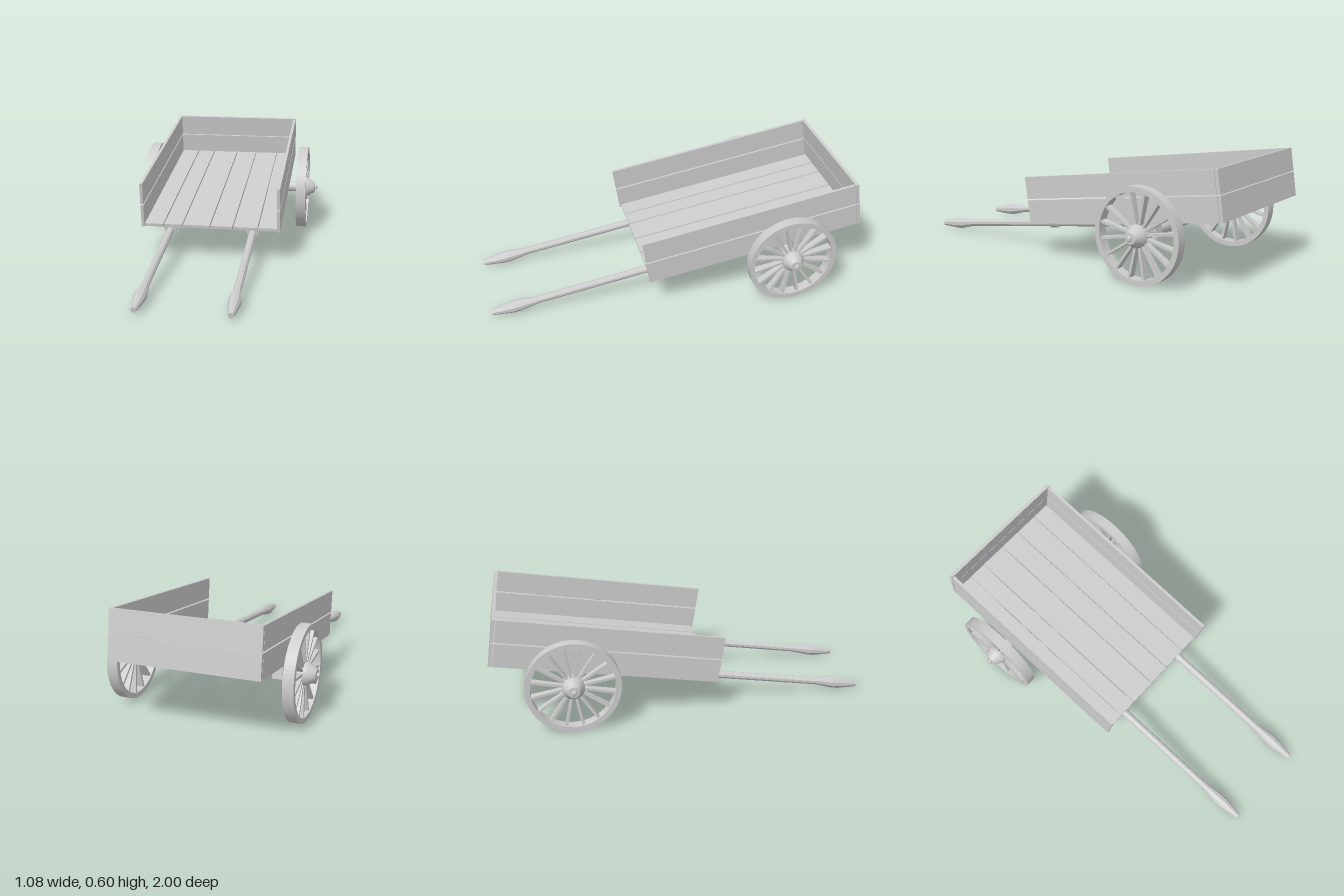
import * as THREE from 'three';
import { toCreasedNormals } from 'three/addons/utils/BufferGeometryUtils.js';

const AXLE_Y = 0.243, AXLE_Z = -0.585, TILT = 0.151;
const material = new THREE.MeshStandardMaterial({ color: 0xcccccc });

function add(parent, name, geometry) {
  const mesh = new THREE.Mesh(geometry, material);
  mesh.name = name;
  parent.add(mesh);
  return mesh;
}

// Box given by its extents on each axis
function board(parent, name, [x0, x1], [y0, y1], [z0, z1]) {
  const mesh = add(parent, name, new THREE.BoxGeometry(x1 - x0, y1 - y0, z1 - z0));
  mesh.position.set((x0 + x1) / 2, (y0 + y1) / 2, (z0 + z1) / 2);
  return mesh;
}

function lathe(points, sides) {
  const profile = points.map(([r, h]) => new THREE.Vector2(r, h));
  return toCreasedNormals(new THREE.LatheGeometry(profile, sides), 0.6);
}

// Spoked wheel around the x axis, outer face towards +x
function createWheel() {
  const wheel = new THREE.Group();
  wheel.name = 'wheel';

  const ring = new THREE.Shape().absarc(0, 0, 0.243, 0, Math.PI * 2);
  ring.holes.push(new THREE.Path().absarc(0, 0, 0.216, 0, Math.PI * 2, true));
  const rimGeometry = new THREE.ExtrudeGeometry(ring, { depth: 0.056, bevelEnabled: false, curveSegments: 48 });
  rimGeometry.translate(0, 0, -0.028).rotateY(Math.PI / 2);
  add(wheel, 'rim', toCreasedNormals(rimGeometry, 0.6));

  // Flat spokes, broader towards the rim
  const spokeGeometry = new THREE.BoxGeometry(0.042, 0.185, 0.013).translate(0, 0.1275, 0);
  const pos = spokeGeometry.attributes.position;
  for (let i = 0; i < pos.count; i++) if (pos.getY(i) < 0.1) pos.setX(i, pos.getX(i) * 0.6);
  spokeGeometry.computeVertexNormals();
  for (let i = 0; i < 16; i++) {
    add(wheel, 'spoke', spokeGeometry).rotation.x = ((i + 0.5) / 16) * Math.PI * 2;
  }

  // Hub with a tapered cap and an end pin
  const hub = lathe([[0, -0.03], [0.045, -0.03], [0.058, -0.015], [0.058, 0.028], [0.03, 0.072],
    [0.013, 0.074], [0.013, 0.084], [0.008, 0.088], [0, 0.088]], 16);
  add(wheel, 'hub', hub.rotateZ(-Math.PI / 2));
  return wheel;
}

// Open-fronted plank box, in the tilted frame centred on the axle
function createBox() {
  const box = new THREE.Group();
  box.name = 'cartBox';
  const rows = [[0.045, 0.170], [0.178, 0.296]];

  // Floor planks of uneven width
  const seams = [-0.368, -0.261, -0.157, -0.005, 0.12, 0.256, 0.362];
  for (let i = 0; i < seams.length - 1; i++) {
    board(box, 'floorPlank', [seams[i] + 0.003, seams[i + 1] - 0.003], [0.045, 0.061], [-0.41, 0.75]);
  }

  for (const row of rows) {
    board(box, 'leftSidePlank', [0.36, 0.376], row, [-0.407, 0.76]);
    board(box, 'rightSidePlank', [-0.382, -0.366], row, [-0.407, 0.76]);
  }
  board(box, 'lowerTailPlank', [-0.382, 0.376], [0.045, 0.171], [-0.428, -0.41]);
  board(box, 'upperTailPlank', [-0.382, 0.376], [0.176, 0.296], [-0.428, -0.41]);
  return box;
}

// Pull shaft with a swollen grip and two straps under the floor
function createShaft() {
  const shaft = new THREE.Group();
  shaft.name = 'pullShaft';

  const pole = lathe([[0, 0.07], [0.021, 0.07], [0.02, 1.36], [0.032, 1.45], [0.032, 1.49], [0.015, 1.6], [0, 1.6]], 10);
  add(shaft, 'pole', pole.rotateX(Math.PI / 2)).position.y = 0.02;

  const half = [[0.076, 0.045], [0.076, 0.038], [0.036, 0.038], [0.025, 0.008], [0.013, -0.006]];
  const outline = [...half, ...half.map(([x, y]) => [-x, y]).reverse()];
  const strapShape = new THREE.Shape(outline.map(([x, y]) => new THREE.Vector2(x, y)));
  const strapGeometry = new THREE.ExtrudeGeometry(strapShape, { depth: 0.044, bevelEnabled: false });
  for (const z of [0.13, 0.695]) add(shaft, 'strap', strapGeometry).position.z = z;
  return shaft;
}

export function createModel() {
  const cart = new THREE.Group();
  cart.name = 'handcart';

  // Everything rigid to the bed leans back about the axle
  const body = new THREE.Group();
  body.name = 'body';
  body.position.set(0, AXLE_Y, AXLE_Z);
  body.rotation.x = TILT;
  body.add(createBox());
  cart.add(body);

  const axle = add(cart, 'axle', new THREE.CylinderGeometry(0.03, 0.03, 0.88, 16).rotateZ(Math.PI / 2));
  axle.position.set(0, AXLE_Y, AXLE_Z);

  for (const side of [1, -1]) {
    const shaft = createShaft();
    shaft.position.x = side * 0.226;
    body.add(shaft);

    // Block joining the floor to the axle
    const x = side * 0.335;
    board(body, 'axleBlock', [x - 0.027, x + 0.027], [-0.038, 0.045], [-0.038, 0.038]);

    const wheel = createWheel();
    wheel.position.set(side * 0.452, AXLE_Y, AXLE_Z);
    if (side < 0) wheel.rotation.y = Math.PI;
    cart.add(wheel);
  }
  return cart;
}
